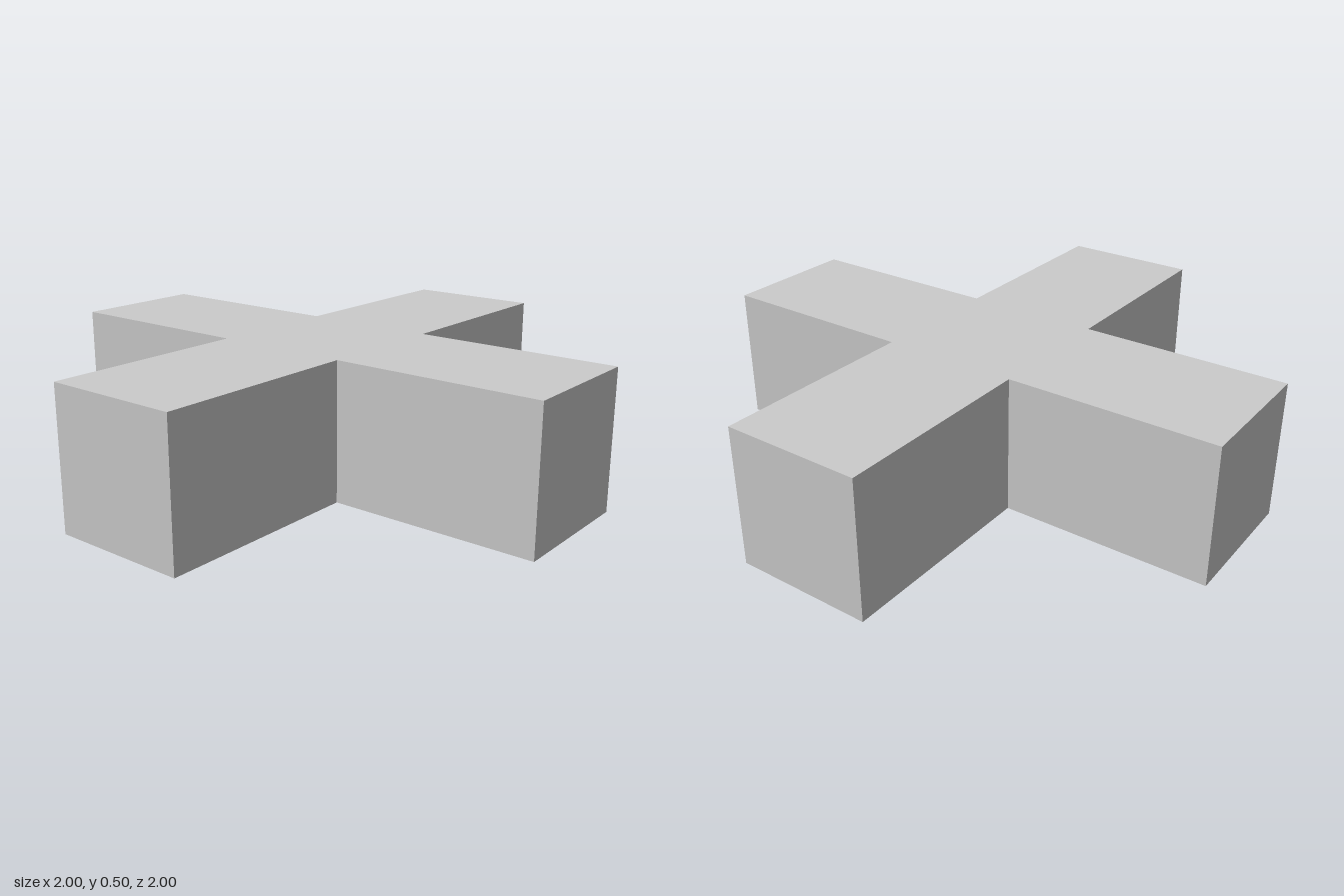
import * as THREE from 'three';

const REACH = 1;    // centre to arm end
const HALF = 0.25;  // half the arm width
const HEIGHT = 0.5;

export function createModel() {
  const group = new THREE.Group();
  group.name = 'crossBlock';

  // Plus-shaped outline: three corners per quarter turn, counter-clockwise
  const corners = [[REACH, -HALF], [REACH, HALF], [HALF, HALF]];
  const outline = [];
  for (let i = 0; i < 4; i++) {
    for (const [x, y] of corners) {
      const point = new THREE.Vector2(x, y);
      for (let turn = 0; turn < i; turn++) point.set(-point.y, point.x);
      outline.push(point);
    }
  }

  // Extruded upward into one solid block
  const geometry = new THREE.ExtrudeGeometry(new THREE.Shape(outline), {
    depth: HEIGHT,
    bevelEnabled: false,
  });
  geometry.rotateX(-Math.PI / 2);

  const material = new THREE.MeshStandardMaterial({ color: 0xcccccc, flatShading: true });
  const cross = new THREE.Mesh(geometry, material);
  cross.name = 'cross';
  group.add(cross);
  return group;
}
